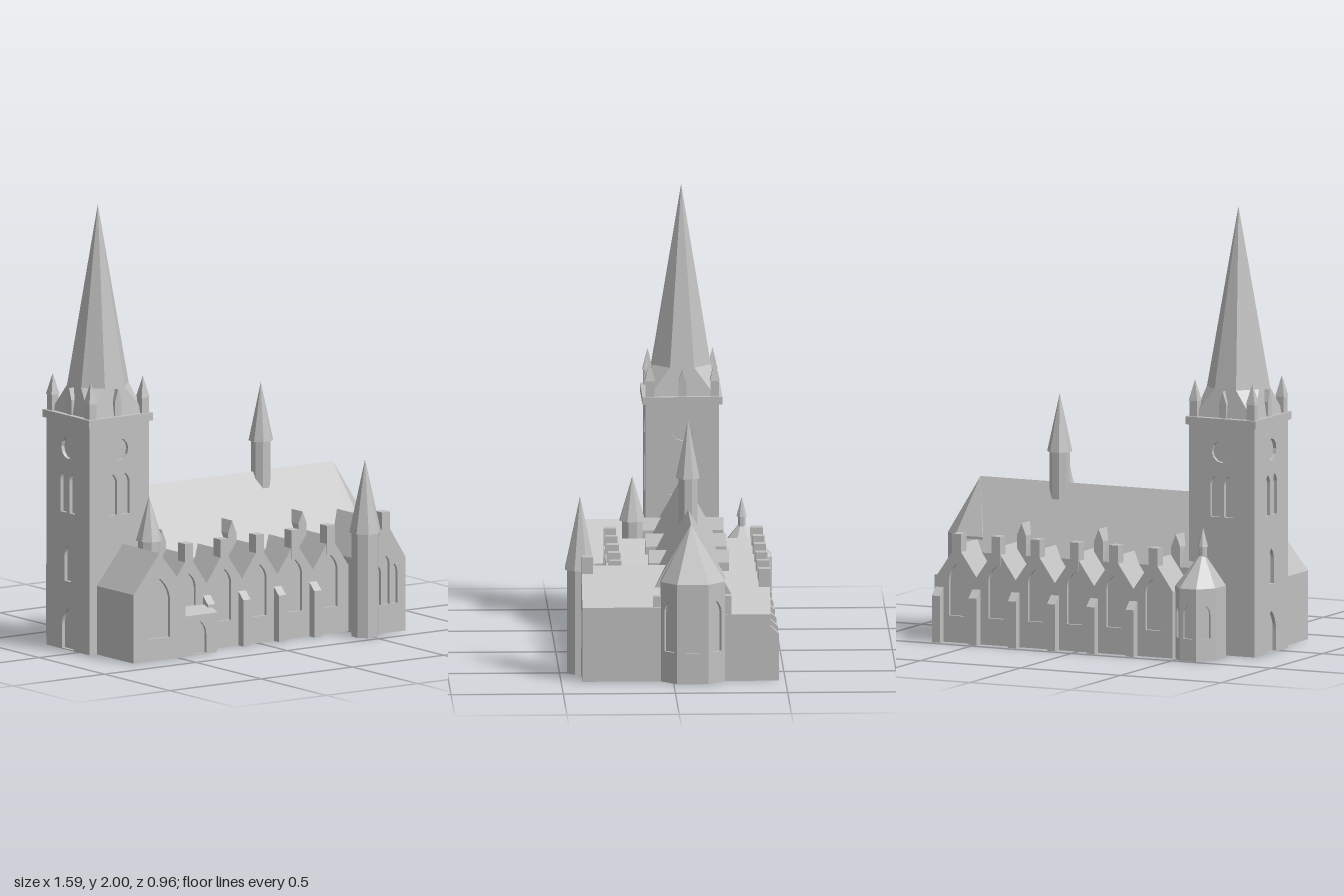
import * as THREE from 'three';

const stone = new THREE.MeshStandardMaterial({ color: 0xc0c0c0 });
stone.name = 'grey stone';
const AXIS = -0.08; // z of the nave ridge and the tower centre

function mesh(name, geometry, parent) {
  const m = new THREE.Mesh(geometry, stone);
  m.name = name;
  parent.add(m);
  return m;
}

function box(name, parent, x0, x1, y0, y1, z0, z1) {
  const m = mesh(name, new THREE.BoxGeometry(x1 - x0, y1 - y0, z1 - z0), parent);
  m.position.set((x0 + x1) / 2, (y0 + y1) / 2, (z0 + z1) / 2);
  return m;
}

// Flat-shaded solid through rings of [x, y, z], running from bottom to top
function loft(name, parent, rings) {
  const v = [];
  const n = rings[0].length;
  const centre = r => [0, 1, 2].map(k => r.reduce((s, p) => s + p[k], 0) / n);
  for (let i = 0; i < rings.length - 1; i++) {
    for (let j = 0; j < n; j++) {
      const k = (j + 1) % n;
      const [a, b, c, d] = [rings[i][j], rings[i][k], rings[i + 1][k], rings[i + 1][j]];
      v.push(...a, ...b, ...c, ...a, ...c, ...d);
    }
  }
  const low = rings[0], top = rings[rings.length - 1];
  for (let j = 0; j < n; j++) {
    const k = (j + 1) % n;
    v.push(...low[k], ...low[j], ...centre(low), ...top[j], ...top[k], ...centre(top));
  }
  const g = new THREE.BufferGeometry();
  g.setAttribute('position', new THREE.Float32BufferAttribute(v, 3));
  g.computeVertexNormals();
  return mesh(name, g, parent);
}

const at = (points, y) => points.map(([x, z]) => [x, y, z]);
const tip = (points, x, y, z) => points.map(() => [x, y, z]);

// Regular plan with flat sides facing the axes; r is the distance to a side
function plan(x, z, r, n = 8, rz = r) {
  const s = 1 / Math.cos(Math.PI / n);
  return Array.from({ length: n }, (_, i) => {
    const a = ((i - 0.5) * 2 * Math.PI) / n;
    return [x + Math.sin(a) * r * s, z + Math.cos(a) * rz * s];
  });
}

function turret(name, parent, x, z, r, y0, eave, peak, overhang = 0.01, n = 8) {
  const p = plan(x, z, r, n), q = plan(x, z, r + overhang, n);
  loft(name + 'Shaft', parent, [at(p, y0), at(p, eave)]);
  loft(name + 'Roof', parent, [at(q, eave), tip(q, x, peak, z)]);
}

// Window outlines
function lancet(x, w, y0, y1) {
  const p = new THREE.Path(), h = w / 2, spring = y1 - w * 0.95;
  p.moveTo(x - h, y0);
  p.lineTo(x + h, y0);
  p.lineTo(x + h, spring);
  p.quadraticCurveTo(x + h, y1 - w * 0.4, x, y1);
  p.quadraticCurveTo(x - h, y1 - w * 0.4, x - h, spring);
  p.closePath();
  return p;
}
const rose = (x, y, r) => new THREE.Path().absarc(x, y, r, 0, Math.PI * 2, true);

// Plate with openings: front face on local z = 0, thickness behind it
function plate(name, parent, outline, depth, back, openings = []) {
  const s = new THREE.Shape(outline.map(p => new THREE.Vector2(...p)));
  s.holes.push(...openings);
  const g = new THREE.ExtrudeGeometry(s, { depth, bevelEnabled: false, curveSegments: 6 });
  g.translate(0, 0, -back - depth);
  return mesh(name, g, parent);
}

// Gabled block with its front at (x, z), reaching backwards by length
function gable(name, parent, o) {
  const { x, z, w, y0 = 0, eave, peak, length, turn = 0, openings = [] } = o;
  const g = new THREE.Group();
  g.name = name;
  g.position.set(x, 0, z);
  g.rotation.y = turn;
  const h = w / 2;
  const outline = [[-h, y0], [h, y0], [h, eave], [0, peak], [-h, eave]];
  const skin = openings.length ? 0.015 : 0;
  if (skin) plate(name + 'Front', g, outline, skin, 0, openings);
  plate(name + 'Body', g, outline, length - skin, skin);
  parent.add(g);
  return g;
}

// Walls on a plan, with openings listed per side, around a slightly smaller core
function walls(name, parent, points, height, openingsFor) {
  const cx = points.reduce((s, p) => s + p[0], 0) / points.length;
  const cz = points.reduce((s, p) => s + p[1], 0) / points.length;
  const core = points.map(([x, z]) => [cx + (x - cx) * 0.9, cz + (z - cz) * 0.9]);
  loft(name + 'Core', parent, [at(core, 0), at(core, height)]);
  points.forEach(([x, z], i) => {
    const [x2, z2] = points[(i + 1) % points.length];
    const h = Math.hypot(x2 - x, z2 - z) / 2;
    const m = plate(name + 'Wall', parent, [[-h, 0], [h, 0], [h, height], [-h, height]], 0.018, 0, openingsFor(i));
    m.position.set((x + x2) / 2, 0, (z + z2) / 2);
    m.rotation.y = Math.atan2(z - z2, x2 - x);
  });
}

function buildTower(parent) {
  const g = new THREE.Group();
  g.name = 'tower';
  parent.add(g);
  const cx = -0.622, half = 0.164;
  walls('tower', g, plan(cx, AXIS, half, 4), 1.03, i => {
    const list = [rose(0, 0.915, 0.05), lancet(-0.034, 0.045, 0.62, 0.805), lancet(0.034, 0.045, 0.62, 0.805)];
    if (i === 3) list.push(lancet(0, 0.05, 0.31, 0.47), lancet(0, 0.09, 0.004, 0.19));
    return list;
  });
  box('towerCornice', g, cx - 0.175, cx + 0.175, 1.03, 1.065, AXIS - 0.178, AXIS + 0.178);

  // Broach spire: square at the foot, eight-sided above
  const oct = plan(cx, AXIS, 0.13);
  const foot = oct.map(([x, z]) => [cx + Math.sign(x - cx) * 0.15, AXIS + Math.sign(z - AXIS) * 0.15]);
  loft('spire', g, [at(foot, 1.06), at(oct, 1.19), tip(oct, cx, 2, AXIS)]);

  for (let i = 0; i < 4; i++) {
    const a = (i * Math.PI) / 2;
    gable('spireLight', g, {
      x: cx + Math.sin(a) * 0.157, z: AXIS + Math.cos(a) * 0.157, turn: a,
      w: 0.035, y0: 1.06, eave: 1.13, peak: 1.185, length: 0.06,
    });
  }
  for (const sx of [-1, 1]) for (const sz of [-1, 1])
    turret('cornerPinnacle', g, cx + sx * 0.143, AXIS + sz * 0.145, 0.019, 1.06, 1.135, 1.23, 0.003, 4);
}

function buildNave(parent) {
  const g = new THREE.Group();
  g.name = 'nave';
  parent.add(g);
  const section = plan(0, 0, 1, 4); // placeholder square turned into the nave cross-section below
  const profile = new THREE.Shape([[-0.18, 0], [0.18, 0], [0.18, 0.385], [0, 0.7], [-0.18, 0.385]]
    .map(p => new THREE.Vector2(...p)));
  const body = mesh('naveBody', new THREE.ExtrudeGeometry(profile, { depth: 1.145, bevelEnabled: false }), g);
  body.rotation.y = Math.PI / 2;
  body.position.set(-0.48, 0, AXIS);
  box('naveEastEnd', g, 0.6, 0.714, 0, 0.385, AXIS - 0.18, AXIS + 0.17);

  // Apse with hipped roof
  const apse = [[0.58, 0.055], [0.715, 0.055], [0.79, -0.015], [0.79, -0.155], [0.715, -0.23], [0.58, -0.23]];
  walls('apse', g, apse, 0.45, i => (i > 0 && i < 4 ? [lancet(0, 0.06, 0.14, 0.37)] : []));
  loft('apseRoof', g, [at(apse, 0.45), tip(apse, 0.665, 0.7, AXIS)]);

  // Roof dormers on both slopes
  for (const side of [-1, 1]) for (const x of [-0.4, -0.015, 0.37])
    gable('dormer', g, {
      x, z: AXIS + side * 0.18, turn: side > 0 ? 0 : Math.PI,
      w: 0.045, y0: 0.36, eave: 0.475, peak: 0.53, length: 0.11,
    });
  turret('ridgeTurret', g, 0.27, AXIS, 0.042, 0.62, 0.838, 1.1);
}

// Row of gabled aisle bays with buttresses between them
function buildAisle(parent, name, side, count, wall, pitch) {
  const g = new THREE.Group();
  g.name = name;
  parent.add(g);
  const turn = side > 0 ? 0 : Math.PI;
  for (let i = 0; i < count; i++) {
    const x = -0.375 + i * pitch;
    const bay = gable('aisleBay', g, {
      x, z: wall, turn, w: pitch, eave: 0.3, peak: 0.44, length: 0.23,
      openings: [lancet(0, 0.075, 0.12, 0.355)],
    });
    box('gablePinnacle', bay, -0.022, 0.022, 0.36, 0.49, -0.052, 0.002);
    if (side > 0 && i === count - 1) continue;
    const s = new THREE.Shape([[0, 0], [0.038, 0], [0.038, 0.21], [-0.01, 0.255], [-0.01, 0]]
      .map(p => new THREE.Vector2(...p)));
    const b = mesh('buttress', new THREE.ExtrudeGeometry(s, { depth: 0.04, bevelEnabled: false }), bay);
    b.rotation.y = -Math.PI / 2;
    b.position.x = side * Math.min(pitch / 2, 0.69 - x) + 0.02;
  }
}

export function createModel() {
  const church = new THREE.Group();
  church.name = 'church';
  buildTower(church);
  buildNave(church);
  buildAisle(church, 'frontAisle', 1, 5, 0.272, 0.194);
  buildAisle(church, 'backAisle', -1, 6, -0.434, 0.196);
  box('backAisleEnd', church, 0.68, 0.715, 0, 0.3, -0.434, -0.2);

  // East transept with triple window and stair turret
  const transept = gable('transept', church, {
    x: 0.608, z: 0.405, w: 0.214, eave: 0.335, peak: 0.507, length: 0.42,
    openings: [lancet(-0.045, 0.035, 0.13, 0.31), lancet(0, 0.04, 0.13, 0.35), lancet(0.045, 0.035, 0.13, 0.31)],
  });
  box('transeptPinnacle', transept, -0.022, 0.022, 0.43, 0.548, -0.05, 0.001);
  turret('stairTurret', church, 0.492, 0.408, 0.057, 0, 0.47, 0.8);

  // West wing, its turret and the small lean-to porch
  gable('westWing', church, {
    x: -0.602, z: 0.365, w: 0.285, eave: 0.31, peak: 0.485, length: 0.32,
    openings: [lancet(0, 0.115, 0.1, 0.37)],
  });
  turret('wingTurret', church, -0.5, 0.142, 0.046, 0, 0.5, 0.7);
  plate('porchFront', church, [[-0.47, 0], [-0.277, 0], [-0.277, 0.165], [-0.47, 0.165]], 0.012, -0.35,
    [lancet(-0.368, 0.065, 0.004, 0.15)]);
  box('porchBody', church, -0.47, -0.277, 0, 0.165, 0.25, 0.338);
  const eaves = [[-0.47, 0.352], [-0.275, 0.352], [-0.275, 0.26], [-0.47, 0.26]];
  loft('porchRoof', church, [at(eaves, 0.165), at(eaves, 0.18),
    at(eaves.map(([x, z]) => [x, Math.min(z, 0.285)]), 0.207)]);

  // Eight-sided chapel behind the tower
  const chapel = plan(-0.572, -0.355, 0.1, 8, 0.126);
  walls('chapel', church, chapel, 0.325, i => (i > 2 && i < 6 ? [lancet(0, 0.045, 0.1, 0.25)] : []));
  loft('chapelRoof', church, [at(chapel, 0.325), tip(chapel, -0.58, 0.48, -0.348)]);
  turret('chapelPinnacle', church, -0.58, -0.348, 0.017, 0.4, 0.5, 0.588, 0.005);
  return church;
}
